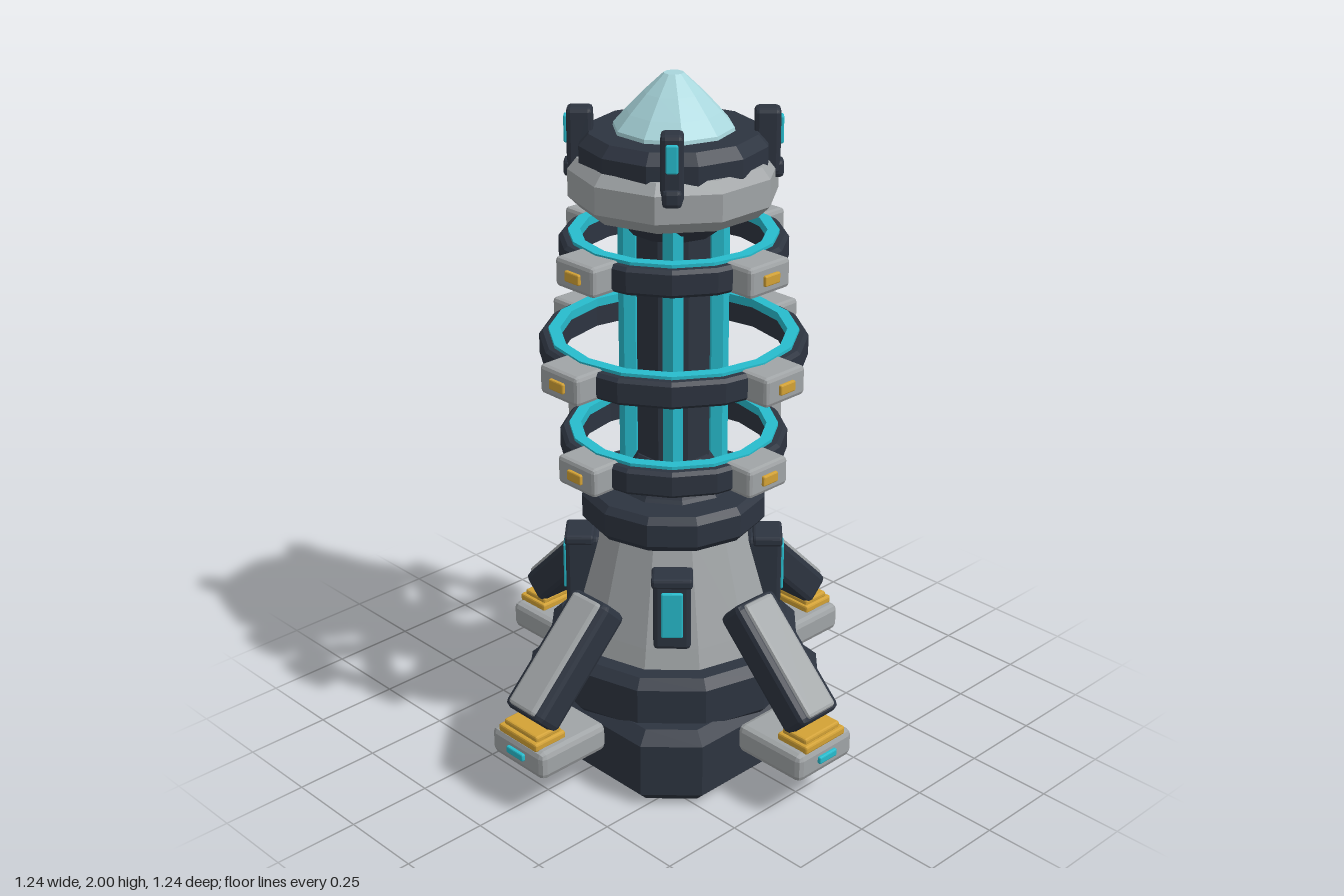
import * as THREE from 'three';
import { RoundedBoxGeometry } from 'three/addons/geometries/RoundedBoxGeometry.js';

const mat = (name, color) => {
  const m = new THREE.MeshStandardMaterial({ color, flatShading: true });
  m.name = name;
  return m;
};

export function createModel() {
  const dark = mat('dark steel', 0x2d3440);
  const grey = mat('light grey metal', 0xa0a4a6);
  const teal = mat('teal glow', 0x27bccd);
  const gold = mat('gold trim', 0xd3a235);
  const glass = mat('pale crystal', 0xa9d6dc);
  const model = new THREE.Group();
  model.name = 'beaconTower';

  const add = (parent, name, geo, material, x = 0, y = 0, z = 0) => {
    const m = new THREE.Mesh(geo, material);
    m.name = name;
    m.position.set(x, y, z);
    parent.add(m);
    return m;
  };
  // faceted solid of revolution, profile given bottom to top as [radius, y]
  const lathe = (name, pts, sides, material, start = 0) =>
    add(model, name, new THREE.LatheGeometry(pts.map(p => new THREE.Vector2(...p)), sides, start), material);
  // box with chamfered edges
  const block = (parent, name, w, h, d, material, x, y, z, r = 0.012) =>
    add(parent, name, new RoundedBoxGeometry(w, h, d, 1, r), material, x, y, z);
  // four copies around the axis; each is built facing +z
  const around = (name, offset, build) => {
    for (let i = 0; i < 4; i++) {
      const g = new THREE.Group();
      g.name = name;
      g.rotation.y = offset + i * Math.PI / 2;
      build(g);
      model.add(g);
    }
  };

  // base: square slab with cut corners, chamfered top and bottom
  const bevel = 0.035, a = 0.363 - bevel, b = 0.24 - bevel * 0.4;
  const slab = new THREE.Shape(
    [[a, -b], [a, b], [b, a], [-b, a], [-a, b], [-a, -b], [-b, -a], [b, -a]].map(p => new THREE.Vector2(...p)));
  const slabGeo = new THREE.ExtrudeGeometry(slab, {
    depth: 0.16, bevelEnabled: true, bevelSize: bevel, bevelThickness: bevel, bevelSegments: 1 });
  slabGeo.rotateX(-Math.PI / 2);
  add(model, 'baseSlab', slabGeo, dark, 0, bevel, 0);
  lathe('baseTier', [[0, 0.19], [0.345, 0.19], [0.372, 0.22], [0.372, 0.335], [0.345, 0.362], [0, 0.362]], 12, dark);

  // skirt, collar and column
  lathe('skirt', [[0, 0.35], [0.3, 0.36], [0.285, 0.42], [0.2, 0.73], [0, 0.73]], 12, grey);
  lathe('collar', [[0, 0.715], [0.25, 0.715], [0.267, 0.735], [0.267, 0.8], [0.25, 0.82], [0, 0.82]], 12, dark);
  lathe('lowerNeck', [[0.18, 0.81], [0.165, 0.83], [0.11, 0.92], [0, 0.92]], 10, dark);
  lathe('column', [[0.108, 0.85], [0.108, 1.62]], 8, dark, Math.PI / 8);
  lathe('upperNeck', [[0, 1.56], [0.12, 1.57], [0.185, 1.65], [0, 1.65]], 10, dark);

  // head
  lathe('headRim', [[0, 1.64], [0.25, 1.64], [0.285, 1.675], [0.285, 1.75], [0.26, 1.78], [0, 1.78]],
    10, grey, Math.PI / 2);
  lathe('headCrown', [[0, 1.75], [0.25, 1.75], [0.258, 1.77], [0.258, 1.82], [0.23, 1.85], [0, 1.85]], 12, dark);
  lathe('crystalDome', [[0.168, 1.83], [0.163, 1.86], [0.128, 1.9], [0.08, 1.95], [0.027, 2], [0, 2]], 10, glass);

  // floating rings with glowing inlay and four clamps each
  for (const [y, r, out] of [[0.95, 0.32, 0.37], [1.235, 0.372, 0.425], [1.522, 0.312, 0.362]]) {
    const i = r - 0.055, h = 0.038, c = 0.01;
    lathe('ring', [[i, y - h], [r - c, y - h], [r, y - h + c], [r, y + h - c], [r - c, y + h], [i, y + h], [i, y - h]],
      16, dark);
    const t0 = i - 0.004, t1 = r - 0.026, yt = y + h;
    lathe('ringGlow', [[t0, yt - 0.016], [t1, yt - 0.016], [t1, yt + 0.009], [t0, yt + 0.009], [t0, yt - 0.016]],
      16, teal);
    around('ringClamp', 0, g => {
      block(g, 'clampBody', 0.15, 0.084, out - r + 0.055, grey, 0, y, (out + r - 0.055) / 2);
      block(g, 'clampPlate', 0.056, 0.03, 0.018, gold, 0, y, out, 0.004);
    });
  }

  // details on the diagonals
  around('diagonalFittings', Math.PI / 4, g => {
    const rod = new THREE.CylinderGeometry(0.032, 0.032, 0.78, 6);
    add(g, 'energyRod', rod, teal, 0, 1.23, 0.12);
    block(g, 'crownClamp', 0.06, 0.18, 0.07, dark, 0, 1.82, 0.248);
    block(g, 'crownClampFoot', 0.052, 0.05, 0.05, dark, 0, 1.745, 0.268);
    block(g, 'crownLight', 0.032, 0.075, 0.012, teal, 0, 1.85, 0.285, 0.004);
    block(g, 'windowFrame', 0.105, 0.215, 0.1, dark, 0, 0.545, 0.26);
    block(g, 'windowHood', 0.115, 0.03, 0.085, dark, 0, 0.645, 0.27, 0.008);
    block(g, 'windowLight', 0.06, 0.14, 0.012, teal, 0, 0.55, 0.312, 0.004);
  });

  // legs with braced struts and feet
  around('leg', 0, g => {
    block(g, 'foot', 0.22, 0.085, 0.24, grey, 0, 0.172, 0.49, 0.018);
    block(g, 'footLight', 0.07, 0.022, 0.016, teal, 0, 0.176, 0.612, 0.004);
    block(g, 'footTrim', 0.16, 0.025, 0.11, gold, 0, 0.222, 0.552, 0.006);
    block(g, 'footTrimStep', 0.14, 0.02, 0.09, gold, 0, 0.24, 0.55, 0.006);
    const strut = new THREE.Group();
    strut.name = 'strut';
    strut.position.set(0, 0.398, 0.425);
    strut.rotation.x = Math.PI / 4;
    block(strut, 'strutBeam', 0.15, 0.1, 0.38, dark, 0, 0, 0, 0.018);
    block(strut, 'strutPlate', 0.108, 0.03, 0.36, grey, 0, 0.046, 0, 0.01);
    g.add(strut);
  });

  return model;
}
